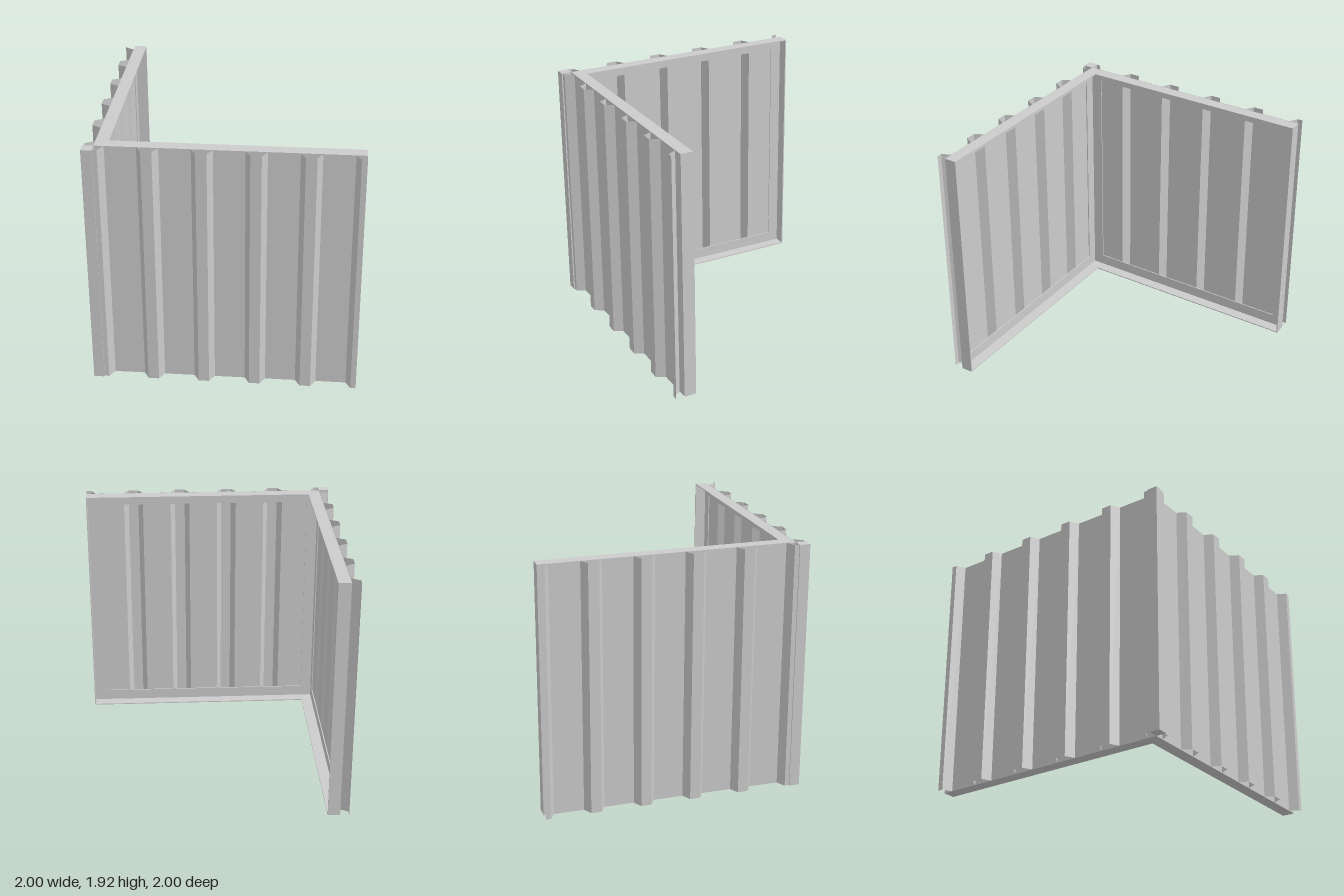
import * as THREE from 'three';

const H = 1.925;      // wall height
const FACE = 0.92;    // outer plane of the frames
const DEPTH = 0.095;  // frame depth
const T = 0.008;      // plate thickness
const LIP = 0.095;    // width of the lip behind the sheet
const PITCH = 0.385, CREST = 0.04, FOOT = 0.078, RISE = 0.07;

const steel = new THREE.MeshStandardMaterial({ color: 0xcccccc, flatShading: true });
const sheetSteel = new THREE.MeshStandardMaterial({ color: 0xcccccc, flatShading: true, side: THREE.DoubleSide });

function box(name, x0, x1, y0, y1, z0, z1) {
  const mesh = new THREE.Mesh(new THREE.BoxGeometry(x1 - x0, y1 - y0, z1 - z0), steel);
  mesh.position.set((x0 + x1) / 2, (y0 + y1) / 2, (z0 + z1) / 2);
  mesh.name = name;
  return mesh;
}

// Trapezoid ribs along the wall, with half a rib at each end
function ribProfile() {
  const low = FACE + 0.002, high = FACE + RISE;
  const points = [];
  for (let i = 0; i <= 5; i++) {
    const c = -0.925 + i * PITCH;
    if (i > 0) points.push([c - FOOT, low], [c - CREST, high]);
    else points.push([c, high]);
    if (i < 5) points.push([c + CREST, high], [c + FOOT, low]);
    else points.push([c, high]);
  }
  return points;
}

// Upright folded sheet through a plan profile
function foldedSheet(points) {
  const pos = [];
  for (let i = 0; i + 1 < points.length; i++) {
    const [ax, az] = points[i], [bx, bz] = points[i + 1];
    pos.push(ax, 0, az, bx, 0, bz, bx, H, bz, ax, 0, az, bx, H, bz, ax, H, az);
  }
  const geo = new THREE.BufferGeometry();
  geo.setAttribute('position', new THREE.Float32BufferAttribute(pos, 3));
  geo.computeVertexNormals();
  const mesh = new THREE.Mesh(geo, sheetSteel);
  mesh.name = 'corrugatedSheet';
  return mesh;
}

// One framed wall; the side wall mirrors the front wall across the corner diagonal
function wall(name, mirrored) {
  const group = new THREE.Group();
  group.name = name;
  const add = (part, x0, x1, y0, y1, z0, z1) => group.add(mirrored
    ? box(part, -z1, -z0, y0, y1, -x1, -x0)
    : box(part, x0, x1, y0, y1, z0, z1));

  // Thin plates around the outside of the frame
  const back = FACE - DEPTH;
  const start = mirrored ? -back : -FACE; // mitre-free butt joint at the corner
  add('topPlate', start, 1, H - T, H, back, FACE);
  add('bottomPlate', start, 1, 0, T, back, FACE);
  add('endPlate', 1 - T, 1, T, H - T, back, FACE);

  // Flat lips lying against the sheet
  const z0 = FACE - T, z1 = FACE;
  add('topLip', -FACE, 1 - T, H - LIP, H - T, z0, z1);
  add('bottomLip', -FACE, 1 - T, T, LIP, z0, z1);
  add('endLip', 1 - LIP, 1 - T, LIP, H - LIP, z0, z1);
  add('cornerLip', -FACE, -FACE + LIP, LIP, H - LIP, z0, z1);

  // Corrugated cladding
  const profile = ribProfile();
  group.add(foldedSheet(mirrored ? profile.map(([x, z]) => [-z, -x]).reverse() : profile));
  return group;
}

export function createModel() {
  const model = new THREE.Group();
  model.name = 'cornerWall';
  model.add(wall('frontWall', false), wall('sideWall', true));
  // Square post filling the outer corner
  model.add(box('cornerPost', -1, -FACE, 0, H, FACE, 1));
  return model;
}
